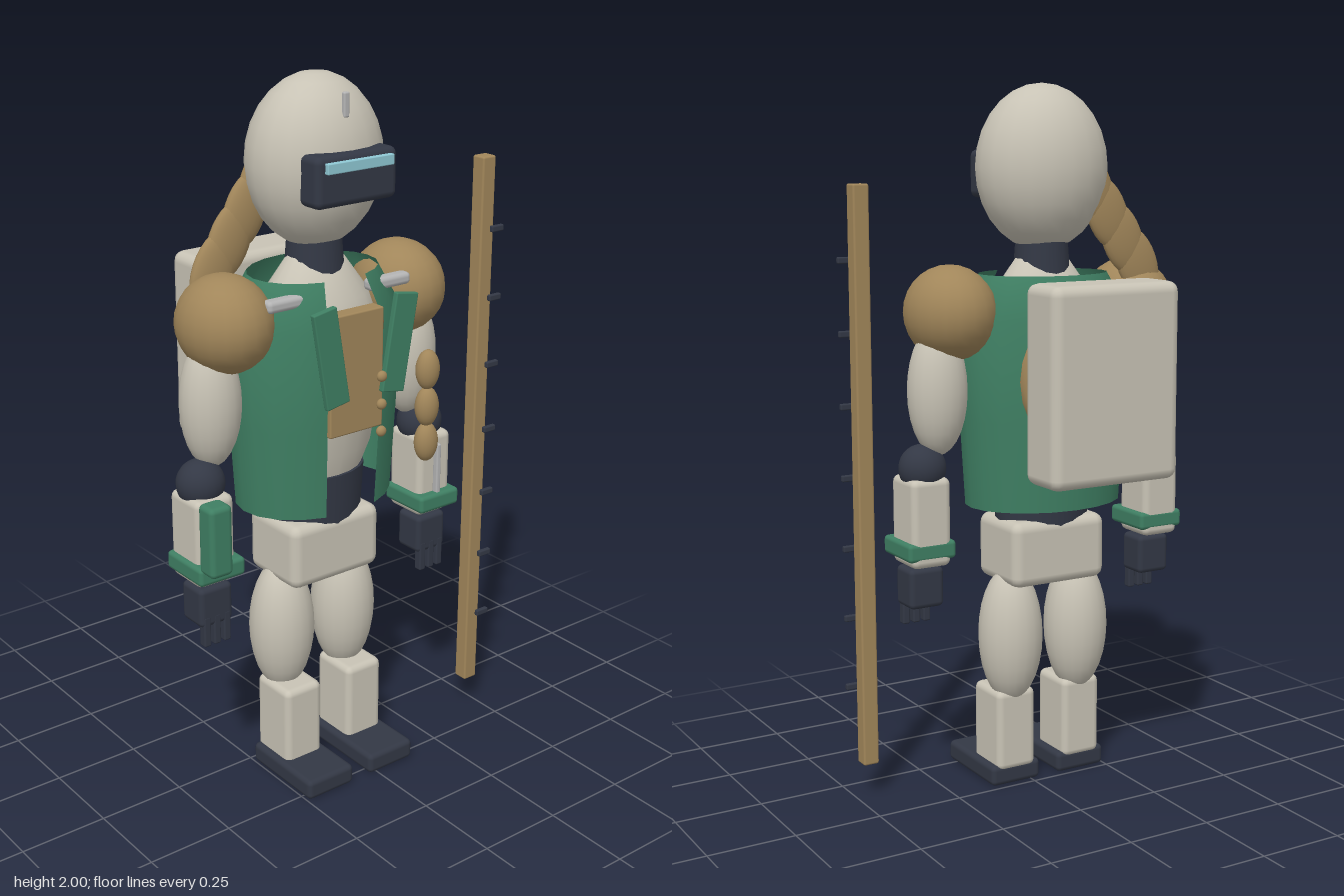
import * as THREE from 'three';
import { RoundedBoxGeometry } from 'three/addons/geometries/RoundedBoxGeometry.js';

const mat = (color, extra = {}) => new THREE.MeshStandardMaterial({ color, ...extra });
const CREAM = mat(0xc8c3b5), GREEN = mat(0x3f7f63), TAN = mat(0xa1865a), DARK = mat(0x333845);
const GREY = mat(0xb4b4b4), GLASS = mat(0x8fc8d4);
const CLOTH = mat(0x3f7f63, { side: THREE.DoubleSide });
const CX = -0.058, CZ = 0.06; // body axis

export function createModel() {
  const model = new THREE.Group();
  model.name = 'explorerRobot';

  const add = (name, geo, material, x, y, z, parent = model) => {
    const m = new THREE.Mesh(geo, material);
    m.name = name;
    m.position.set(x, y, z);
    parent.add(m);
    return m;
  };
  const box = (name, w, h, d, material, x, y, z, r = 0.015, parent = model) =>
    add(name, new RoundedBoxGeometry(w, h, d, 2, r), material, x, y, z, parent);
  const ball = (name, rx, ry, rz, material, x, y, z, parent = model) =>
    add(name, new THREE.SphereGeometry(1, 20, 14).scale(rx, ry, rz), material, x, y, z, parent);
  const lathe = (points, segments, start = 0, length = Math.PI * 2) =>
    new THREE.LatheGeometry(points.map(([r, y]) => new THREE.Vector2(r, y)), segments, start, length);

  // Head with visor and antenna
  ball('head', 0.193, 0.229, 0.164, CREAM, CX, 1.771, CZ);
  box('visor', 0.262, 0.135, 0.085, DARK, CX, 1.752, 0.203, 0.02);
  box('visorGlass', 0.214, 0.028, 0.02, GLASS, CX, 1.79, 0.248, 0.003);
  box('antenna', 0.018, 0.065, 0.014, GREY, CX, 1.93, 0.19, 0.005);
  add('neck', new THREE.CylinderGeometry(0.072, 0.082, 0.13, 16), DARK, CX, 1.535, CZ);

  // Torso, waist and pelvis
  const torso = lathe([[0.12, 0.86], [0.17, 0.98], [0.2, 1.15], [0.2, 1.3], [0.16, 1.41], [0.075, 1.525], [0, 1.53]], 20);
  add('torso', torso.scale(1, 1, 0.75), CREAM, CX, 0, CZ);
  add('waist', new THREE.CylinderGeometry(0.15, 0.14, 0.15, 20).scale(1, 1, 0.77), DARK, CX, 0.84, CZ);
  box('pelvis', 0.304, 0.19, 0.22, CREAM, CX, 0.695, CZ, 0.03);

  // Open-fronted vest, with panel, lapels and buttons
  const gap = 0.36;
  const vest = lathe([[0.235, 0.83], [0.25, 1.08], [0.262, 1.36], [0.192, 1.48]], 18, gap, Math.PI * 2 - gap * 2);
  add('vest', vest.scale(1, 1, 0.77), CLOTH, CX, 0, 0.053);
  box('chestPanel', 0.178, 0.335, 0.045, TAN, CX, 1.233, 0.224, 0.005);
  for (const y of [1.07, 1.147, 1.225]) ball('button', 0.015, 0.015, 0.012, TAN, -0.007, y, 0.287);
  for (const y of [1.013, 1.115, 1.22]) ball('pouch', 0.035, 0.056, 0.03, TAN, 0.134, y, 0.308);

  for (const s of [-1, 1]) {
    const side = s > 0 ? 'left' : 'right';
    const at = (offset) => CX + s * offset;

    box(side + 'Lapel', 0.075, 0.27, 0.018, GREEN, at(0.114), 1.305, 0.278, 0.004).rotation.z = -s * 0.17;
    box(side + 'ShoulderBar', 0.14, 0.034, 0.04, GREY, at(0.167), 1.437, 0.163, 0.013);

    // Arm
    const arm = new THREE.Group();
    arm.name = side + 'Arm';
    model.add(arm);
    ball('shoulderPad', 0.126, 0.132, 0.143, TAN, at(0.292), 1.38, CZ, arm);
    ball('upperArm', 0.085, 0.18, 0.08, CREAM, at(0.337), 1.17, 0.053, arm);
    ball('elbow', 0.067, 0.067, 0.065, DARK, at(0.381), 0.957, 0.063, arm);
    box('forearm', 0.12, 0.25, 0.137, CREAM, at(0.382), 0.81, 0.069, 0.02, arm);
    box('forearmRail', 0.016, 0.175, 0.02, GREY, at(0.382), 0.82, 0.145, 0.005, arm);
    box('cuff', 0.146, 0.052, 0.165, GREEN, at(0.382), 0.732, 0.082, 0.012, arm);
    box('hand', 0.105, 0.115, 0.095, DARK, at(0.382), 0.62, 0.083, 0.015, arm);
    for (const k of [-1, 0, 1]) box('finger', 0.022, 0.09, 0.026, DARK, at(0.382) + k * 0.032, 0.55, 0.118, 0.005, arm);

    // Leg
    const leg = new THREE.Group();
    leg.name = side + 'Leg';
    model.add(leg);
    ball('thigh', 0.094, 0.2, 0.092, CREAM, at(0.11), 0.445, 0.05, leg);
    box('shin', 0.125, 0.24, 0.15, CREAM, at(0.11), 0.165, 0.085, 0.02, leg);
    box('foot', 0.16, 0.06, 0.272, DARK, at(0.11), 0.032, 0.15, 0.015, leg);
  }
  box('wristDevice', 0.07, 0.2, 0.065, GREEN, -0.477, 0.849, 0.187, 0.015);

  // Overlapping plume behind the right shoulder
  for (let i = 0; i < 4; i++) {
    const plume = ball('plume', 0.065, 0.11, 0.026, TAN, -0.33 + i * 0.052, 1.5 + i * 0.072, -0.016);
    plume.rotation.z = -0.4;
  }

  // Backpack with rope coil
  box('backpack', 0.4, 0.54, 0.16, CREAM, CX, 1.205, -0.257, 0.03);
  add('ropeCoil', new THREE.TorusGeometry(0.19, 0.018, 6, 24), TAN, CX, 1.21, -0.175);

  // Measuring staff with marks
  const staff = new THREE.Group();
  staff.name = 'staff';
  model.add(staff);
  box('pole', 0.047, 1.63, 0.045, TAN, 0.461, 0.915, 0.152, 0.006, staff);
  for (let i = 0; i < 7; i++) box('mark', 0.044, 0.018, 0.014, DARK, 0.491, 0.325 + i * 0.2, 0.18, 0.004, staff);

  return model;
}
